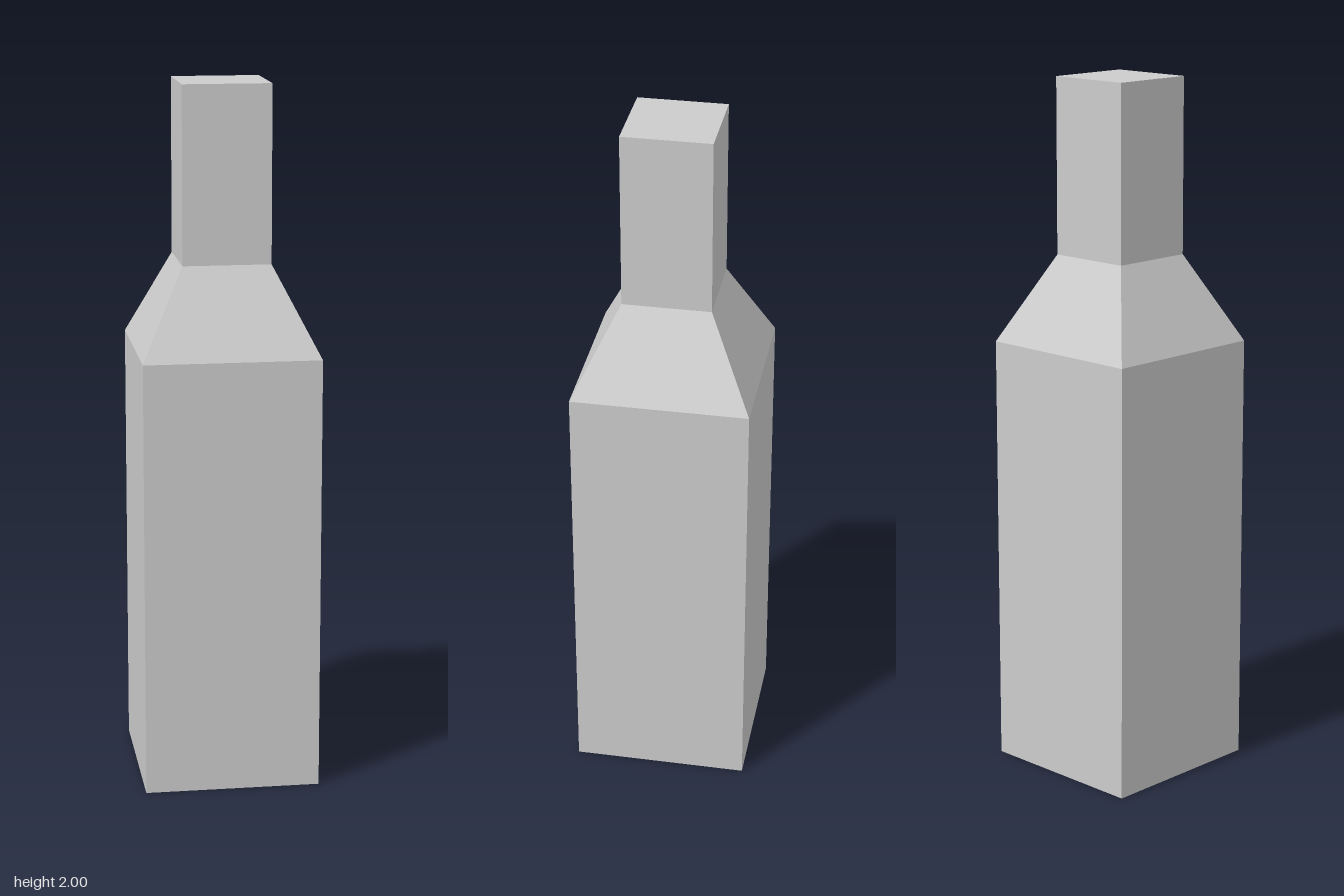
import * as THREE from 'three';

export function createModel() {
  const group = new THREE.Group();
  group.name = 'squareBottle';
  const material = new THREE.MeshStandardMaterial({ color: 0xcccccc, flatShading: true });

  // Half-width and height of each square section, from base to top
  const sections = [[0, 0], [0.25, 0], [0.25, 1.25], [0.125, 1.5], [0.125, 2], [0, 2]];
  const profile = sections.map(([half, y]) => new THREE.Vector2(half * Math.SQRT2, y));

  // Four-sided lathe, turned so its flat sides face the axes
  const geometry = new THREE.LatheGeometry(profile, 4, Math.PI / 4).toNonIndexed();
  geometry.computeVertexNormals();

  const bottle = new THREE.Mesh(geometry, material);
  bottle.name = 'bottleBody';
  group.add(bottle);
  return group;
}
